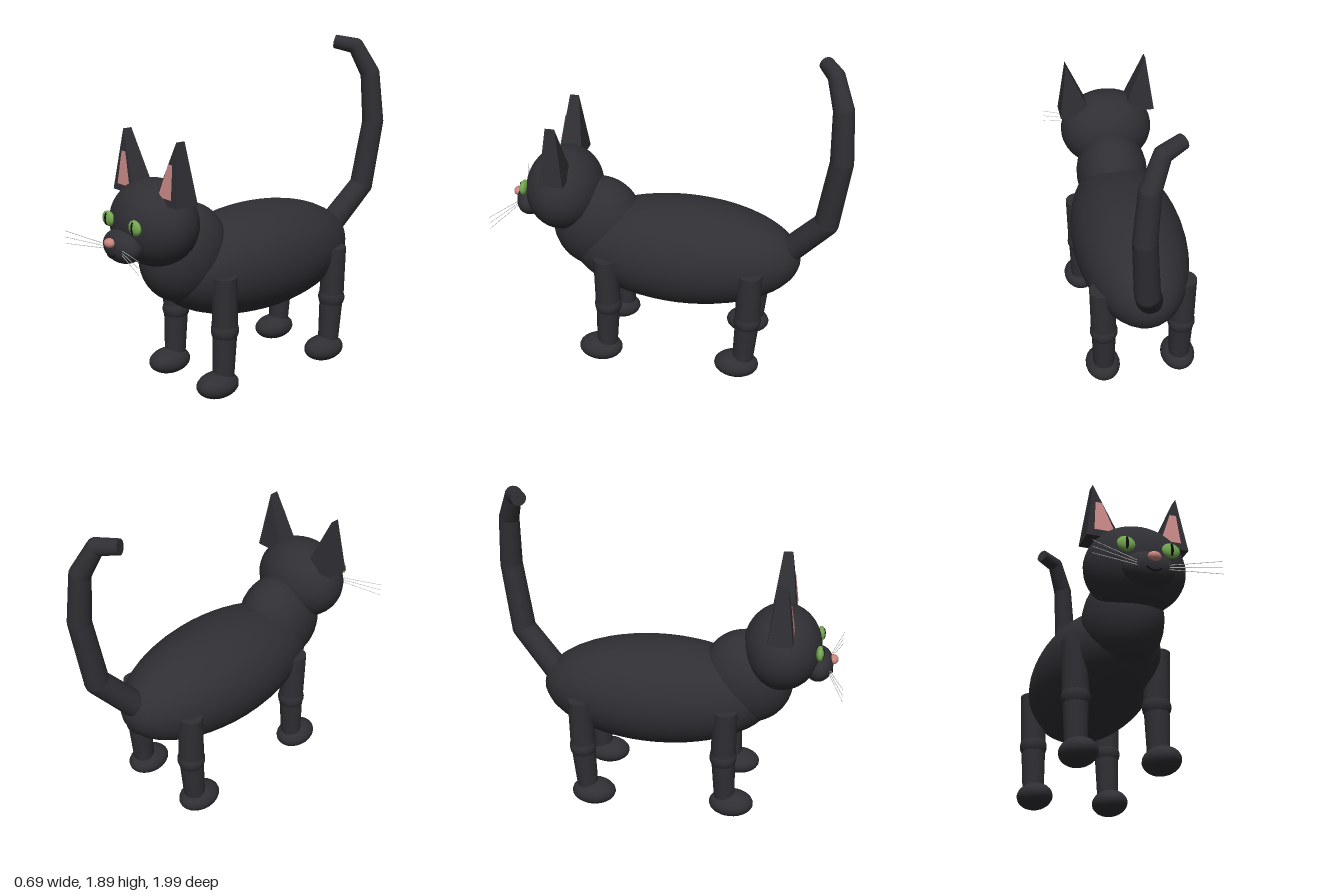
import * as THREE from 'three';

const mat = (name, color, side = THREE.FrontSide) => {
  const m = new THREE.MeshStandardMaterial({ color, side });
  m.name = name;
  return m;
};

export function createModel() {
  const fur = mat('black fur', 0x2f2f34);
  const pink = mat('ear pink', 0xc98a87, THREE.DoubleSide);
  const nosePink = mat('nose pink', 0xc98580);
  const green = mat('eye green', 0x74a850);
  const black = mat('pupil black', 0x0c0c0e);
  const whiskerGrey = mat('whisker grey', 0xcccccc);

  const cat = new THREE.Group();
  cat.name = 'cat';
  const V = (p) => new THREE.Vector3(...p);

  const add = (parent, name, geometry, material) => {
    const mesh = new THREE.Mesh(geometry, material);
    mesh.name = name;
    parent.add(mesh);
    return mesh;
  };

  const ball = (parent, name, material, pos, radii, seg = 28) => {
    const mesh = add(parent, name, new THREE.SphereGeometry(1, seg, Math.round(seg * 0.7)), material);
    mesh.position.set(...pos);
    mesh.scale.set(...radii);
    return mesh;
  };

  // Tapered rod from point a to point b
  const rod = (parent, name, material, a, b, ra, rb, seg = 18) => {
    const dir = V(b).sub(V(a));
    const mesh = add(parent, name, new THREE.CylinderGeometry(rb, ra, dir.length(), seg), material);
    mesh.position.copy(V(a)).addScaledVector(dir, 0.5);
    mesh.quaternion.setFromUnitVectors(new THREE.Vector3(0, 1, 0), dir.normalize());
    return mesh;
  };

  // Flat-sided surface from a list of triangles
  const faces = (points, triangles) => {
    const g = new THREE.BufferGeometry();
    g.setAttribute('position', new THREE.Float32BufferAttribute(triangles.flatMap((i) => points[i]), 3));
    g.computeVertexNormals();
    return g;
  };

  // Torso, neck and head
  ball(cat, 'body', fur, [0, 0.685, -0.06], [0.325, 0.315, 0.68], 36);
  ball(cat, 'neck', fur, [0, 0.81, 0.455], [0.215, 0.282, 0.262]).rotation.x = -0.35;
  ball(cat, 'head', fur, [0, 1.018, 0.645], [0.277, 0.239, 0.222], 32);
  ball(cat, 'muzzle', fur, [0, 0.925, 0.85], [0.14, 0.092, 0.085]);
  ball(cat, 'nose', nosePink, [0, 0.957, 0.933], [0.036, 0.026, 0.028], 18);

  // Small smile wrapped on the muzzle
  const smile = new THREE.CatmullRomCurve3(
    [[-0.042, 0.9, 0.926], [-0.02, 0.884, 0.93], [0, 0.878, 0.931], [0.02, 0.884, 0.93], [0.042, 0.9, 0.926]].map(V));
  add(cat, 'mouth', new THREE.TubeGeometry(smile, 12, 0.004, 6), black);

  for (const s of [1, -1]) {
    const side = s > 0 ? 'left' : 'right';

    // Eye with a slit pupil
    ball(cat, side + 'Eye', green, [s * 0.122, 1.05, 0.855], [0.05, 0.042, 0.022], 20);
    ball(cat, side + 'Pupil', black, [s * 0.122, 1.05, 0.869], [0.011, 0.035, 0.011], 14);

    // Ear: wedge on a rectangular base, rising to a short ridge
    const ear = new THREE.Group();
    ear.name = side + 'Ear';
    cat.add(ear);
    const right = Math.max(s * 0.285, s * 0.095);
    const left = Math.min(s * 0.285, s * 0.095);
    const points = [
      [left, 1.157, 0.71], [right, 1.157, 0.71], [right, 1.157, 0.57], [left, 1.157, 0.57],
      [s * 0.238, 1.492, 0.667], [s * 0.238, 1.492, 0.614],
    ];
    add(ear, 'earShell', faces(points, [
      0, 1, 4, 2, 3, 5, 1, 2, 5, 1, 5, 4, 3, 0, 4, 3, 4, 5, 0, 2, 1, 0, 3, 2,
    ]), fur);
    const onFront = (x, y) => [s * x, y, 0.716 - 0.129 * (y - 1.157)];
    add(ear, 'innerEar', faces(
      [onFront(0.243, 1.195), onFront(0.13, 1.195), onFront(0.193, 1.375), onFront(0.229, 1.375)],
      s > 0 ? [0, 2, 1, 0, 3, 2] : [0, 1, 2, 0, 2, 3]), pink);

    // Whiskers
    for (const k of [-1, 0, 1]) {
      rod(cat, side + 'Whisker', whiskerGrey,
        [s * 0.08, 0.918 + k * 0.012, 0.912], [s * 0.345, 0.921 + k * 0.036, 0.992], 0.002, 0.0015, 5);
    }

    // Legs: upper, knee, lower and paw
    for (const [name, top, knee, ankle, paw] of [
      ['FrontLeg', 0.353, 0.347, 0.36, 0.4], ['BackLeg', -0.483, -0.476, -0.455, -0.42],
    ]) {
      const leg = new THREE.Group();
      leg.name = side + name;
      cat.add(leg);
      rod(leg, 'upperLeg', fur, [s * 0.235, 0.705, top], [s * 0.225, 0.39, knee], 0.069, 0.073);
      ball(leg, 'knee', fur, [s * 0.225, 0.39, knee], [0.079, 0.079, 0.079], 18);
      rod(leg, 'lowerLeg', fur, [s * 0.225, 0.39, knee], [s * 0.225, 0.1, ankle], 0.07, 0.06);
      ball(leg, 'paw', fur, [s * 0.225, 0.077, paw], [0.1, 0.073, 0.13], 22);
    }
  }

  // Tail: tapered straight lengths with rounded bends
  const tail = new THREE.Group();
  tail.name = 'tail';
  cat.add(tail);
  const path = [
    [0, 0.73, -0.65, 0.075], [0.065, 0.985, -0.873, 0.069], [0.093, 1.38, -0.931, 0.064],
    [0.07, 1.67, -0.918, 0.057], [0, 1.832, -0.862, 0.047], [-0.112, 1.853, -0.8, 0.041],
  ];
  path.slice(1).forEach((p, i) => {
    const q = path[i];
    rod(tail, 'tailLength', fur, q.slice(0, 3), p.slice(0, 3), q[3], p[3]);
    if (i < path.length - 2) ball(tail, 'tailBend', fur, p.slice(0, 3), [p[3], p[3], p[3]], 18);
  });

  return cat;
}
